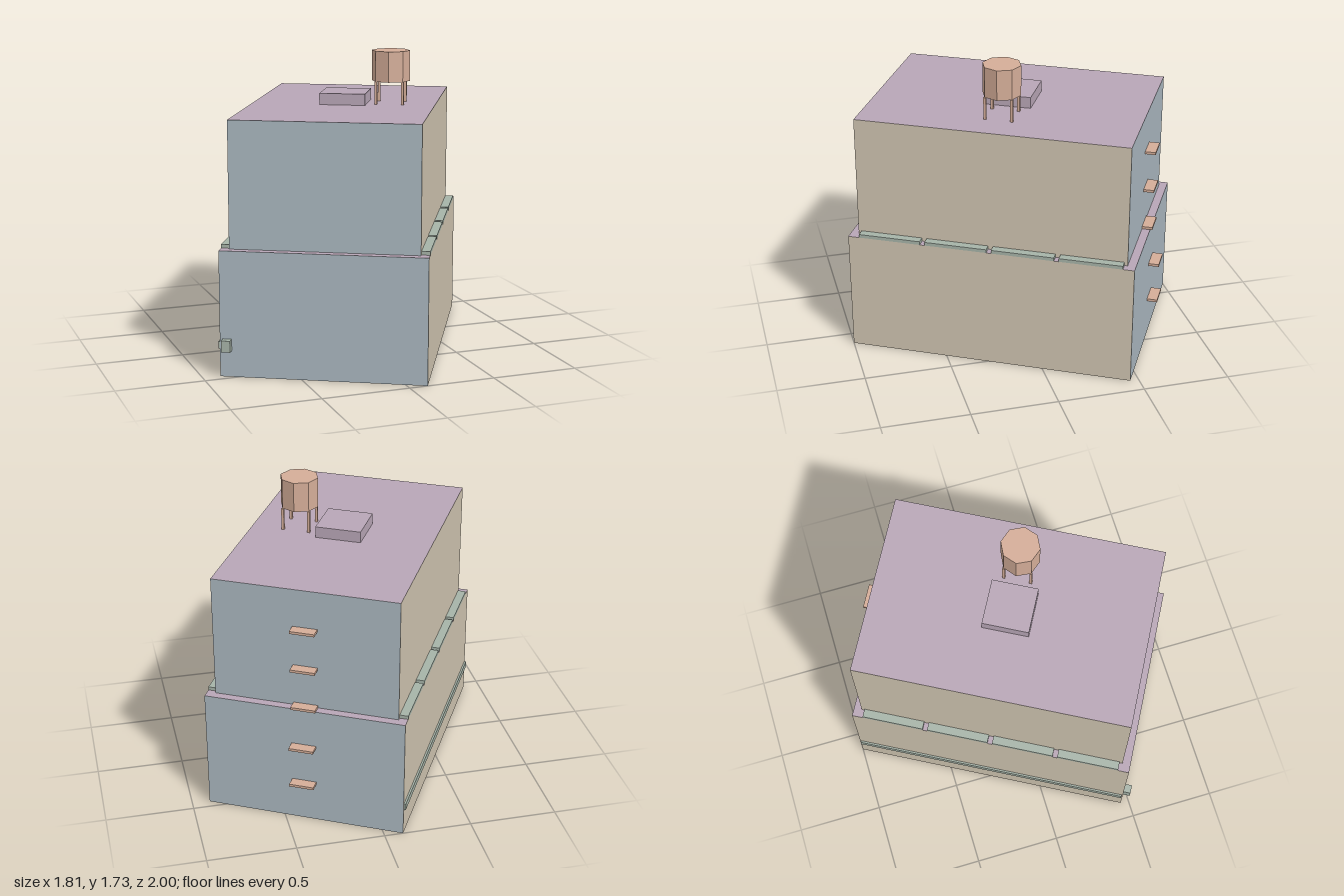
import * as THREE from 'three';

const paint = (color) => new THREE.MeshStandardMaterial({ color, flatShading: true });

export function createModel() {
  const end = paint(0xa9b6be), side = paint(0xcfc4b0), roof = paint(0xb8a6b6);
  const green = paint(0xa6b3a8), clay = paint(0xd4ad98), grey = paint(0xcccccc);
  const walls = [side, side, roof, grey, end, end];

  const model = new THREE.Group();
  model.name = 'building';
  // The whole building stands turned on its plot
  const block = new THREE.Group();
  block.name = 'turnedBuilding';
  block.rotation.y = -0.501;
  model.add(block);

  // Box placed by the centre of its base
  function box(name, material, w, h, d, x, y, z, parent = block) {
    const mesh = new THREE.Mesh(new THREE.BoxGeometry(w, h, d), material);
    mesh.name = name;
    mesh.position.set(x, y + h / 2, z);
    parent.add(mesh);
    return mesh;
  }

  // Two stepped storeys
  box('lowerStorey', walls, 1.146, 0.71, 1.654, 0, 0, 0);
  box('upperStorey', walls, 1.05, 0.71, 1.56, 0, 0.71, 0);

  // Kerb segments on both long ledges
  for (const s of [-1, 1]) {
    for (let i = 0; i < 4; i++) {
      box('ledgeKerb', green, 0.048, 0.02, 0.36, s * 0.549, 0.71, (i - 1.5) * 0.388);
    }
  }

  // Wall band on one long side and a small box on the front wall
  box('wallBand', green, 0.02, 0.04, 1.64, -0.574, 0.155, 0);
  box('wallBox', green, 0.05, 0.065, 0.05, -0.532, 0.15, 0.845);

  // Column of small canopies on the rear wall
  for (let i = 1; i <= 5; i++) {
    const wall = i < 3 ? 0.827 : 0.78;
    box('canopy', clay, 0.14, 0.015, 0.06, 0, i * 0.2367, -wall - 0.03);
  }

  // Roof hatch
  box('roofHatch', roof, 0.264, 0.065, 0.264, 0, 1.42, 0);

  // Water tank on four legs
  const tank = new THREE.Group();
  tank.name = 'waterTank';
  tank.position.set(0.2635, 1.42, 0);
  block.add(tank);
  const drum = new THREE.Mesh(new THREE.CylinderGeometry(0.11, 0.11, 0.175, 8), clay);
  drum.name = 'tankDrum';
  drum.position.y = 0.13 + 0.0875;
  tank.add(drum);
  for (const x of [-1, 1]) {
    for (const z of [-1, 1]) {
      box('tankLeg', clay, 0.015, 0.13, 0.015, x * 0.0765, 0, z * 0.0765, tank);
    }
  }

  return model;
}
